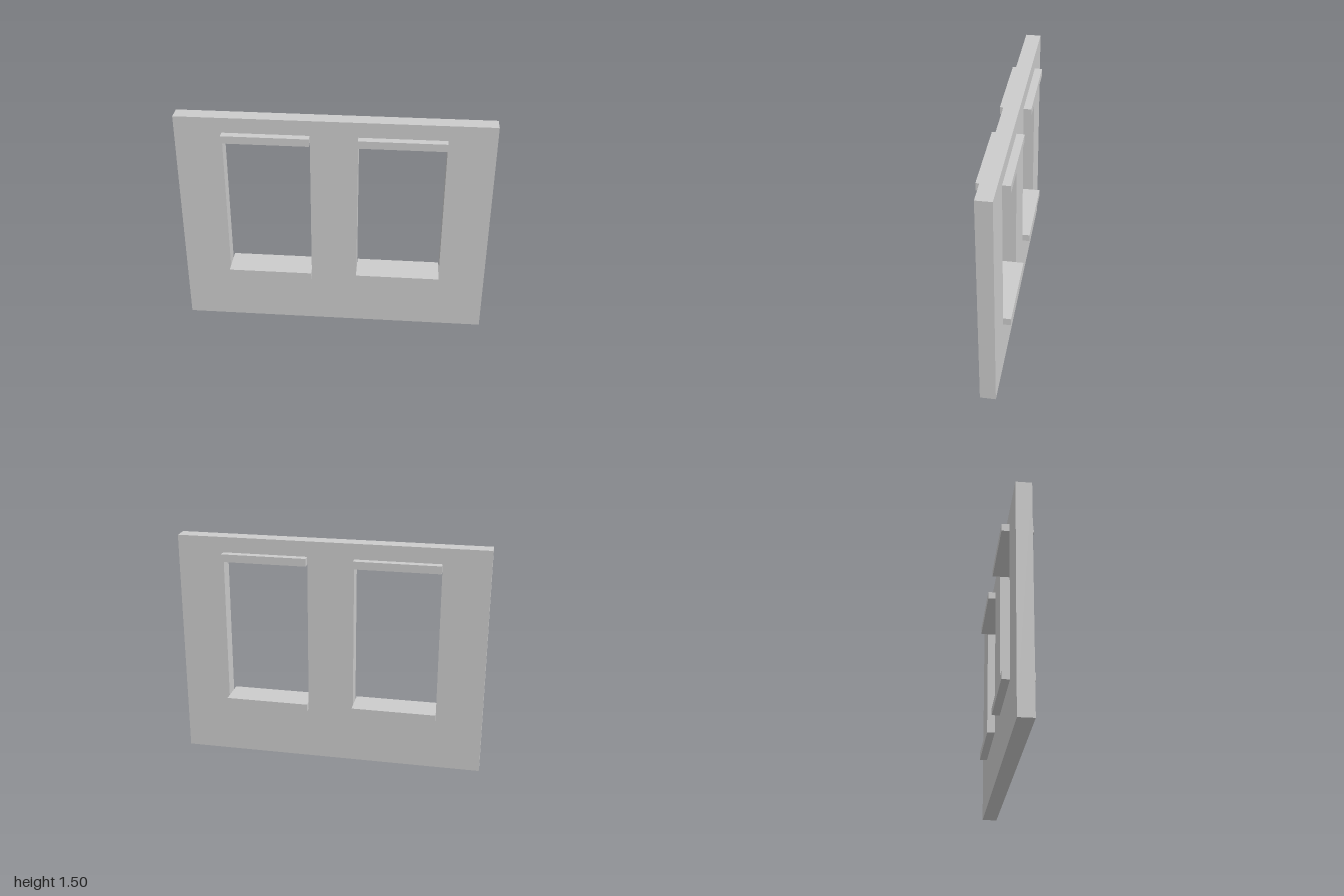
import * as THREE from 'three';

const WIDTH = 2, HEIGHT = 1.5, THICK = 0.1;
const OPENING = { w: 0.55, bottom: 0.35, top: 1.4, centre: 0.425 };
const SLAB = { h: 0.05, d: 0.2 };

// Clockwise rectangle used to cut an opening
function rectHole(x0, x1, y0, y1) {
  return new THREE.Path([
    new THREE.Vector2(x0, y0), new THREE.Vector2(x0, y1),
    new THREE.Vector2(x1, y1), new THREE.Vector2(x1, y0),
  ]);
}

export function createModel() {
  const model = new THREE.Group();
  model.name = 'windowWall';
  const material = new THREE.MeshStandardMaterial({ color: 0xcccccc });

  const outline = new THREE.Shape([
    new THREE.Vector2(-WIDTH / 2, 0), new THREE.Vector2(WIDTH / 2, 0),
    new THREE.Vector2(WIDTH / 2, HEIGHT), new THREE.Vector2(-WIDTH / 2, HEIGHT),
  ]);
  const slabGeometry = new THREE.BoxGeometry(OPENING.w, SLAB.h, SLAB.d);

  for (const [side, label] of [[1, 'left'], [-1, 'right']]) {
    const x = side * OPENING.centre;
    outline.holes.push(rectHole(x - OPENING.w / 2, x + OPENING.w / 2, OPENING.bottom, OPENING.top));

    // Sill and lintel fill the ends of the opening and project from both wall faces
    const sill = new THREE.Mesh(slabGeometry, material);
    sill.name = `${label}Sill`;
    sill.position.set(x, OPENING.bottom + SLAB.h / 2, 0);

    const lintel = new THREE.Mesh(slabGeometry, material);
    lintel.name = `${label}Lintel`;
    lintel.position.set(x, OPENING.top - SLAB.h / 2, 0);
    model.add(sill, lintel);
  }

  // Wall panel with its two openings
  const wallGeometry = new THREE.ExtrudeGeometry(outline, { depth: THICK, bevelEnabled: false });
  wallGeometry.translate(0, 0, -THICK / 2);
  const wall = new THREE.Mesh(wallGeometry, material);
  wall.name = 'wall';
  model.add(wall);

  return model;
}
